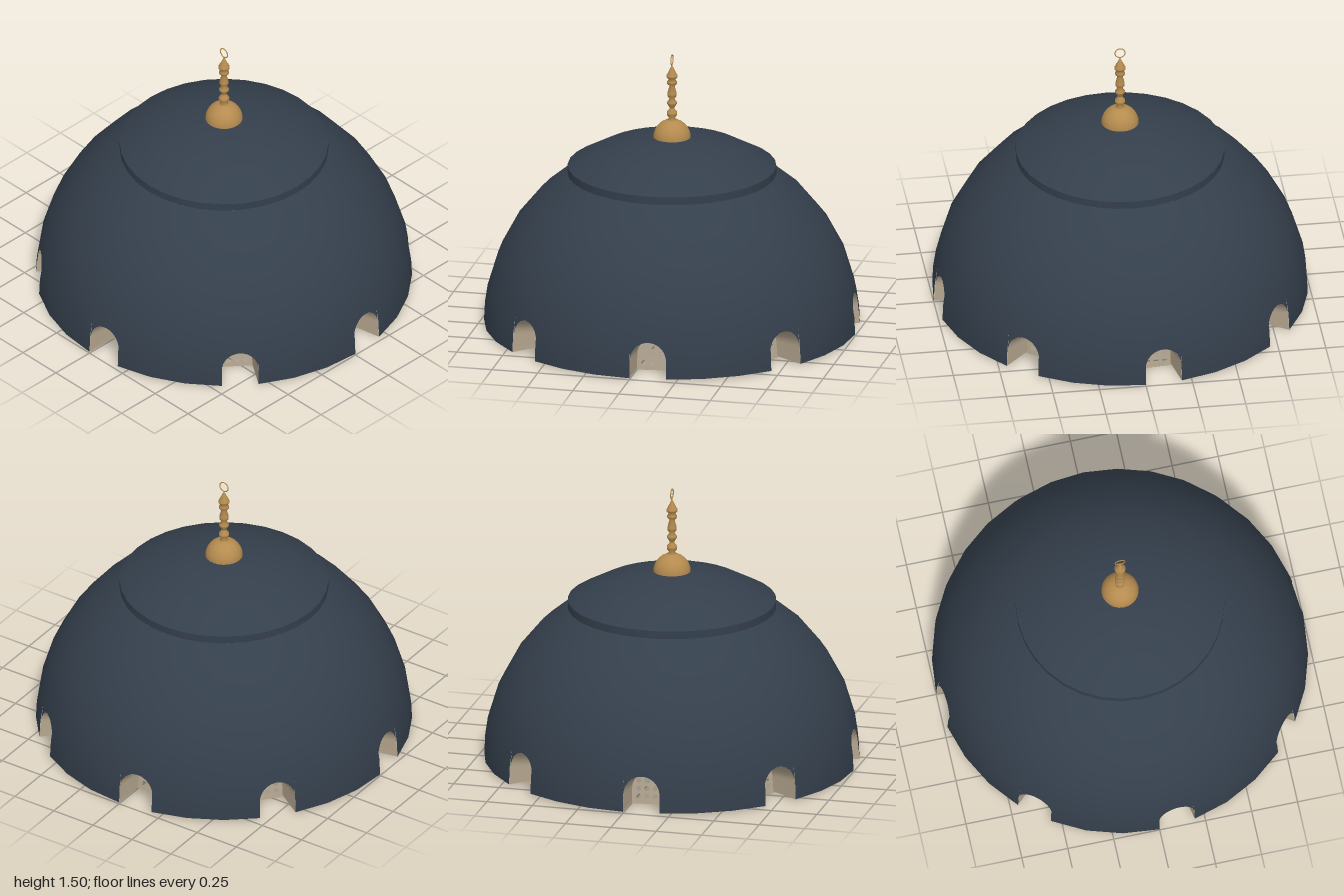
import * as THREE from 'three';

const STEP = Math.PI / 16;   // the dome has 32 sides; each window fills one
const BASE = 0.008;          // height of the dome's rim
const DEPTH = 0.82;          // windows taper toward the dome's centre

function material(name, color) {
  const m = new THREE.MeshStandardMaterial({ color, side: THREE.DoubleSide });
  m.name = name;
  return m;
}

// Point on the window facet: u across, v up, s scales toward the centre
function facet(u, v, s) {
  const r = 1 + (Math.cos(STEP) - 1) * v;
  return new THREE.Vector3(
    r * u * Math.sin(STEP) * s,
    v * Math.sin(STEP) * s,
    r * (1 + (Math.cos(STEP) - 1) * u) * s);
}

function mapToFacet(geometry, s) {
  const p = geometry.attributes.position;
  for (let i = 0; i < p.count; i++) {
    const q = facet(p.getX(i), p.getY(i), s);
    p.setXYZ(i, q.x, q.y, q.z);
  }
  geometry.computeVertexNormals();
  return geometry;
}

// Dome corners left around the arch
function spandrelGeometry() {
  const left = new THREE.Shape();
  left.moveTo(0, 1);
  left.lineTo(0, 0.5);
  left.absarc(0.5, 0.5, 0.5, Math.PI, Math.PI / 2, true);
  const right = new THREE.Shape();
  right.moveTo(1, 1);
  right.lineTo(0.5, 1);
  right.absarc(0.5, 0.5, 0.5, Math.PI / 2, 0, true);
  const g = mapToFacet(new THREE.ShapeGeometry([left, right], 8), 1);
  const p = g.attributes.position;
  for (let i = 0; i < p.count; i++) {
    const n = new THREE.Vector3().fromBufferAttribute(p, i).normalize();
    g.attributes.normal.setXYZ(i, n.x, n.y, n.z);
  }
  return g;
}

// Arched reveal running inward from the opening
function revealGeometry() {
  const path = [[0, 0], [0, 0.5]];
  for (let i = 1; i < 16; i++) {
    const a = Math.PI * (1 - i / 16);
    path.push([0.5 + 0.5 * Math.cos(a), 0.5 + 0.5 * Math.sin(a)]);
  }
  path.push([1, 0.5], [1, 0]);
  const positions = [], index = [];
  path.forEach(([u, v], i) => {
    positions.push(...facet(u, v, 1).toArray(), ...facet(u, v, DEPTH).toArray());
    if (i > 0) {
      const a = 2 * i - 2;
      index.push(a, a + 2, a + 1, a + 1, a + 2, a + 3);
    }
  });
  const g = new THREE.BufferGeometry();
  g.setAttribute('position', new THREE.Float32BufferAttribute(positions, 3));
  g.setIndex(index);
  g.computeVertexNormals();
  return g;
}

// Pierced screen closing the inner end
function screenGeometry() {
  const s = new THREE.Shape();
  s.moveTo(0, -0.05);
  s.lineTo(1, -0.05);
  s.lineTo(1, 0.5);
  s.absarc(0.5, 0.5, 0.5, 0, Math.PI, false);
  s.lineTo(0, -0.05);
  for (const u of [0.22, 0.5, 0.78]) {
    for (const v of [0.2, 0.47, 0.74]) {
      s.holes.push(new THREE.Path().absarc(u, v, 0.085, 0, Math.PI * 2, true));
    }
  }
  return mapToFacet(new THREE.ShapeGeometry(s, 8), DEPTH);
}

export function createModel() {
  const model = new THREE.Group();
  model.name = 'dome';
  const slate = material('slate blue', 0x343f4c);
  const stone = material('stone', 0xb5a68f);
  const gold = material('gold', 0xb58b4f);

  function add(parent, name, geometry, mat, y = 0) {
    const mesh = new THREE.Mesh(geometry, mat);
    mesh.name = name;
    mesh.position.y = y;
    parent.add(mesh);
    return mesh;
  }

  // Main shell above the windows
  add(model, 'domeShell', new THREE.SphereGeometry(
    1, 32, 4, 0, Math.PI * 2, 3 * STEP, 4 * STEP), slate, BASE);

  // Eight windows with wall between them
  const wall = new THREE.SphereGeometry(
    1, 3, 1, Math.PI / 2 + STEP, 3 * STEP, 7 * STEP, STEP);
  const spandrels = spandrelGeometry();
  const reveal = revealGeometry();
  const screen = screenGeometry();
  for (let i = 0; i < 8; i++) {
    const bay = new THREE.Group();
    bay.name = 'windowBay';
    bay.position.y = BASE;
    bay.rotation.y = i * Math.PI / 4;
    add(bay, 'lowerWall', wall, slate);
    add(bay, 'archCorners', spandrels, slate);
    add(bay, 'windowReveal', reveal, stone);
    add(bay, 'windowScreen', screen, stone);
    model.add(bay);
  }

  // Raised cap on a narrow band
  const capRadius = Math.sin(3 * STEP);
  add(model, 'capBand', new THREE.CylinderGeometry(
    capRadius, capRadius, 0.042, 32, 1, true), slate, 0.8605);
  add(model, 'cap', new THREE.SphereGeometry(
    1, 32, 3, 0, Math.PI * 2, 0, 3 * STEP), slate, 0.05);

  // Finial: half ball, turned stem with pointed tip, ring on top
  add(model, 'finialBase', new THREE.SphereGeometry(
    0.1, 24, 8, 0, Math.PI * 2, 0, Math.PI / 2), gold, 1.038);
  const profile = [
    [0.028, 1.13], [0.016, 1.145], [0.028, 1.165], [0.028, 1.178], [0.013, 1.197],
    [0.013, 1.205], [0.026, 1.225], [0.026, 1.235], [0.013, 1.252], [0.025, 1.27],
    [0.025, 1.283], [0.014, 1.325], [0.026, 1.338], [0.026, 1.35], [0.016, 1.36],
    [0.03, 1.374], [0.03, 1.382], [0.013, 1.415], [0, 1.445],
  ].map(([r, y]) => new THREE.Vector2(r, y));
  add(model, 'finialStem', new THREE.LatheGeometry(profile, 16), gold);
  const ring = add(model, 'finialRing',
    new THREE.TorusGeometry(0.027, 0.003, 6, 24), gold, 1.47);
  ring.rotation.y = Math.PI / 2;

  return model;
}
